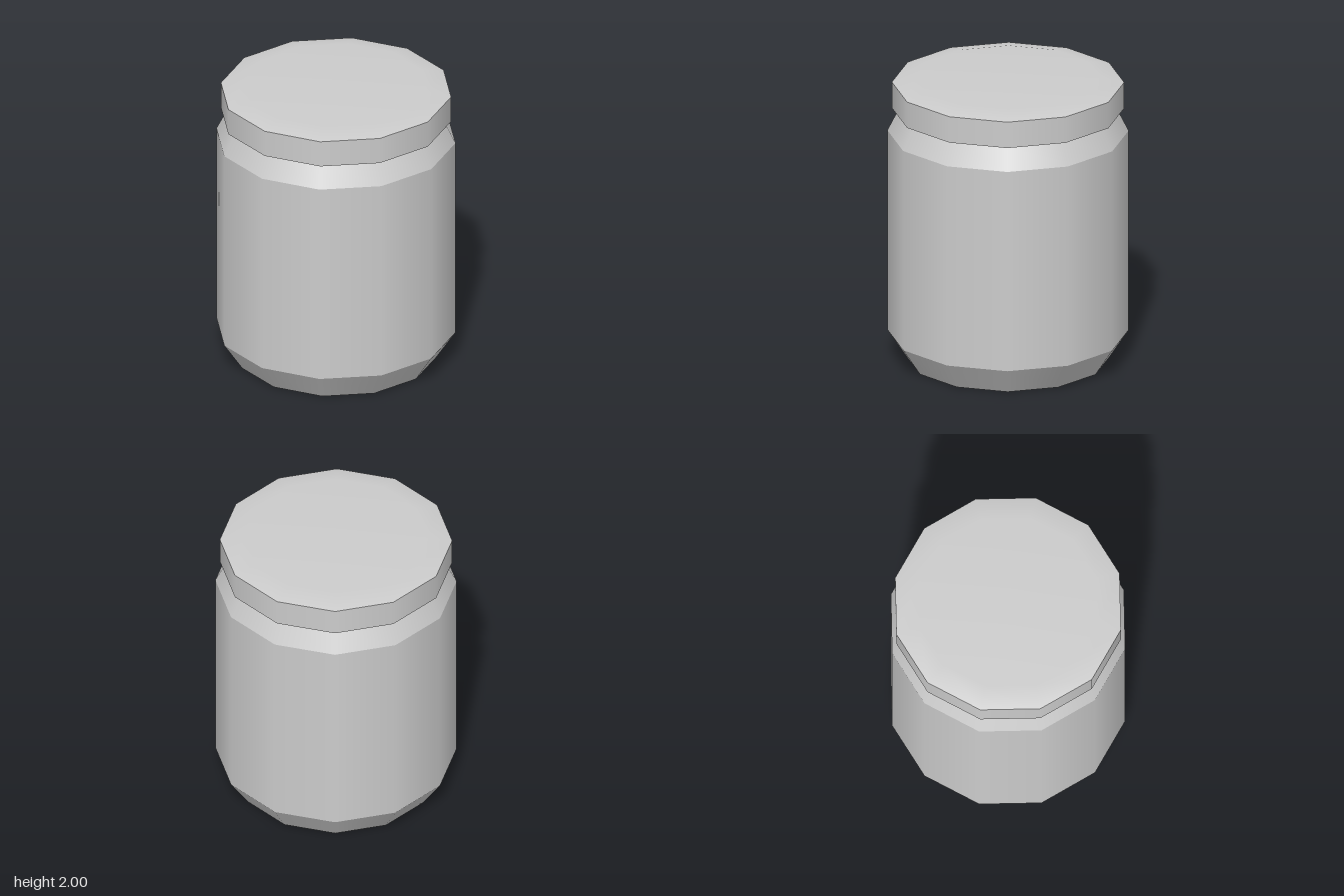
import * as THREE from 'three';
import { mergeGeometries } from 'three/addons/utils/BufferGeometryUtils.js';

const SIDES = 12;

// Turns separate profile bands (bottom to top): smooth around, sharp between bands
function turned(name, bands, material) {
  const lathes = bands.map((band) =>
    new THREE.LatheGeometry(band.map(([r, y]) => new THREE.Vector2(r, y)), SIDES));
  const mesh = new THREE.Mesh(mergeGeometries(lathes), material);
  mesh.name = name;
  return mesh;
}

export function createModel() {
  const group = new THREE.Group();
  group.name = 'jar';
  const material = new THREE.MeshStandardMaterial({ color: 0xcccccc });

  // Jar body: base, lower chamfer, wall, sloping shoulder
  group.add(turned('jarBody', [
    [[0, 0], [0.68, 0]],
    [[0.68, 0], [0.81, 0.195]],
    [[0.81, 0.195], [0.81, 1.62]],
    [[0.81, 1.62], [0.73, 1.78]],
  ], material));

  // Lid: underside, rim, gently domed top
  group.add(turned('lid', [
    [[0, 1.78], [0.78, 1.78]],
    [[0.78, 1.78], [0.78, 1.965]],
    [[0.78, 1.965], [0.62, 2], [0, 2]],
  ], material));

  return group;
}
